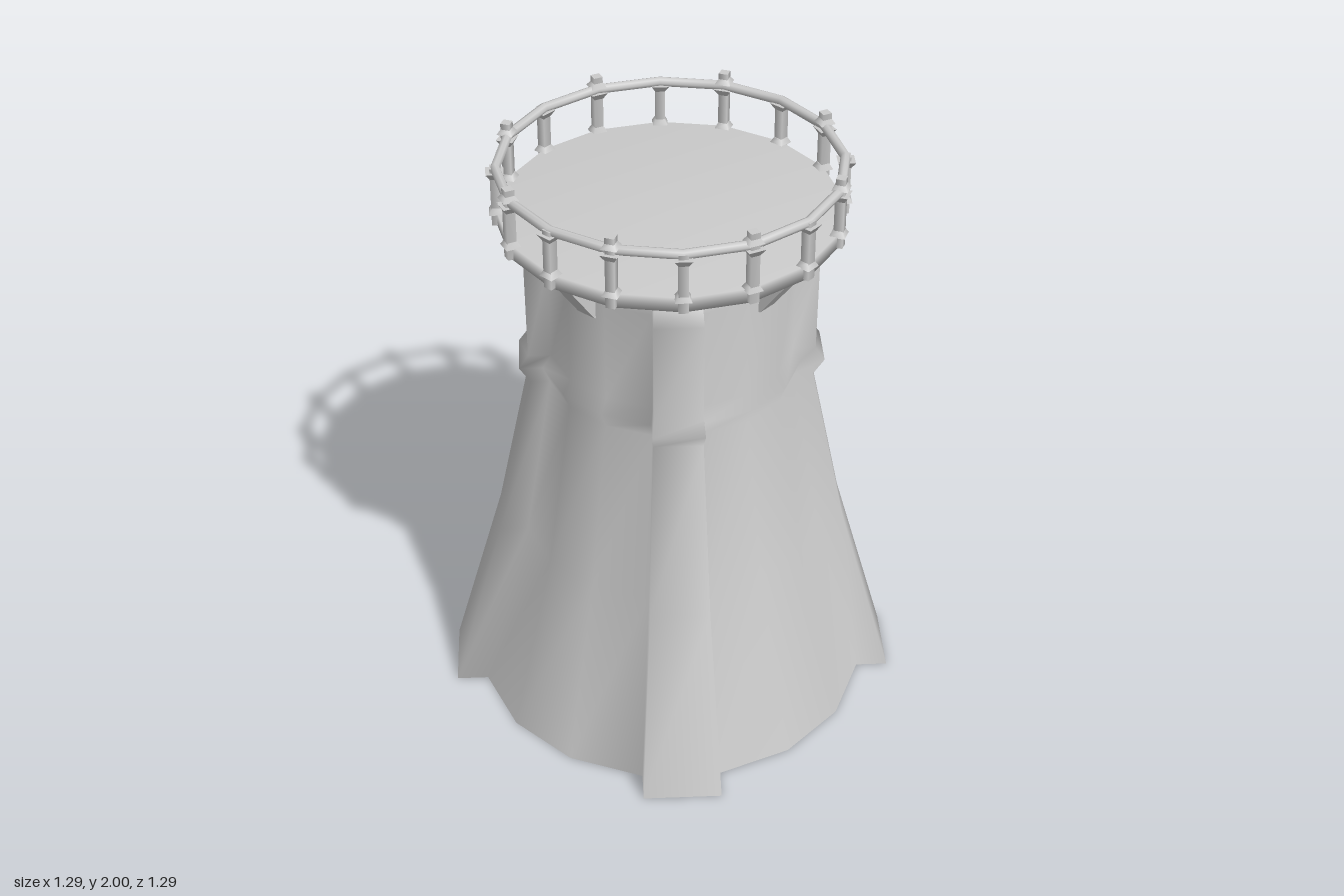
import * as THREE from 'three';

const material = new THREE.MeshStandardMaterial({ color: 0xcccccc, side: THREE.DoubleSide });

function add(parent, name, geometry) {
  const mesh = new THREE.Mesh(geometry, material);
  mesh.name = name;
  parent.add(mesh);
  return mesh;
}

// Outline at one height: a 16-sided ring whose four diagonal sides are pushed out as ribs
function section([y, radius, ribFace]) {
  const points = [];
  const halfStep = Math.PI / 16;
  const twist = 0.015;
  const put = (angle, out, side) => points.push(
    out * Math.cos(angle) - side * Math.sin(angle), y,
    out * Math.sin(angle) + side * Math.cos(angle));
  for (let q = 0; q < 4; q++) {
    const face = q * Math.PI / 2 + twist;
    const rib = face + Math.PI / 4;
    const half = radius * Math.sin(halfStep);
    const apothem = radius * Math.cos(halfStep);
    put(face, apothem, -half);
    put(face, apothem, half);
    put(rib, apothem, -half);
    put(rib, ribFace, -half);
    put(rib, ribFace, half);
    put(rib, apothem, half);
  }
  return points;
}

function towerGeometry() {
  // height, ring radius, distance of the rib face from the axis
  const levels = [
    [0, 0.657, 0.75], [0.63, 0.493, 0.575], [1.21, 0.4, 0.455],
    [1.265, 0.422, 0.49], [1.31, 0.394, 0.46], [1.65, 0.394, 0.463],
    [1.71, 0.376, 0.44], [1.745, 0.335, 0.39], [1.757, 0.28, 0.32], [1.76, 0.001, 0.001],
  ];
  const n = 24;
  const positions = levels.flatMap(section);
  const index = [];
  for (let i = 0; i < levels.length - 1; i++) {
    for (let j = 0; j < n; j++) {
      const a = i * n + j, b = i * n + (j + 1) % n;
      index.push(a, a + n, b, b, a + n, b + n);
    }
  }
  const geometry = new THREE.BufferGeometry();
  geometry.setAttribute('position', new THREE.Float32BufferAttribute(positions, 3));
  geometry.setIndex(index);
  geometry.computeVertexNormals();
  return geometry;
}

// Square bar with softened shading
function bar(topWidth, bottomWidth, height) {
  return new THREE.CylinderGeometry(topWidth * Math.SQRT1_2, bottomWidth * Math.SQRT1_2, height, 4)
    .rotateY(Math.PI / 4);
}

export function createModel() {
  const model = new THREE.Group();
  model.name = 'tower';

  // Hollow ribbed tower, open at the foot
  add(model, 'towerBody', towerGeometry());

  // Walkway disc with softened rim
  const rim = [[0.25, 1.757], [0.54, 1.757], [0.54, 1.805], [0, 1.805]];
  add(model, 'platform', new THREE.LatheGeometry(rim.map(p => new THREE.Vector2(...p)), 16));

  // Handrail
  const railing = new THREE.Group();
  railing.name = 'railing';
  model.add(railing);
  add(railing, 'handrail', new THREE.TorusGeometry(0.538, 0.016, 8, 16).rotateX(Math.PI / 2))
    .position.y = 1.954;

  // Posts: every second one rises above the handrail
  for (let i = 0; i < 16; i++) {
    const tall = i % 2 === 1;
    const top = tall ? 2 : 1.96;
    const post = new THREE.Group();
    post.name = tall ? 'tallPost' : 'shortPost';
    post.rotation.y = i * Math.PI / 8;
    railing.add(post);
    add(post, 'shaft', bar(0.03, 0.03, top - 1.762)).position.set(0, (top + 1.762) / 2, 0.54);
    add(post, 'upperFlare', bar(0.055, 0.03, 0.022)).position.set(0, 1.934, 0.54);
    add(post, 'lowerFlare', bar(0.03, 0.05, 0.02)).position.set(0, 1.812, 0.538);
    if (tall) add(post, 'collar', bar(0.03, 0.05, 0.016)).position.set(0, 1.972, 0.54);
  }

  // Slanted struts under the walkway
  const profile = new THREE.Shape([[0.37, 1.592], [0.392, 1.592], [0.515, 1.76], [0.45, 1.76], [0.37, 1.66]]
    .map(p => new THREE.Vector2(...p)));
  for (let i = 0; i < 4; i++) {
    const strut = new THREE.ExtrudeGeometry(profile, { depth: 0.07, bevelEnabled: false });
    strut.translate(0, 0, -0.035);
    add(model, 'strut', strut).rotation.y = i * Math.PI / 2;
  }

  return model;
}
